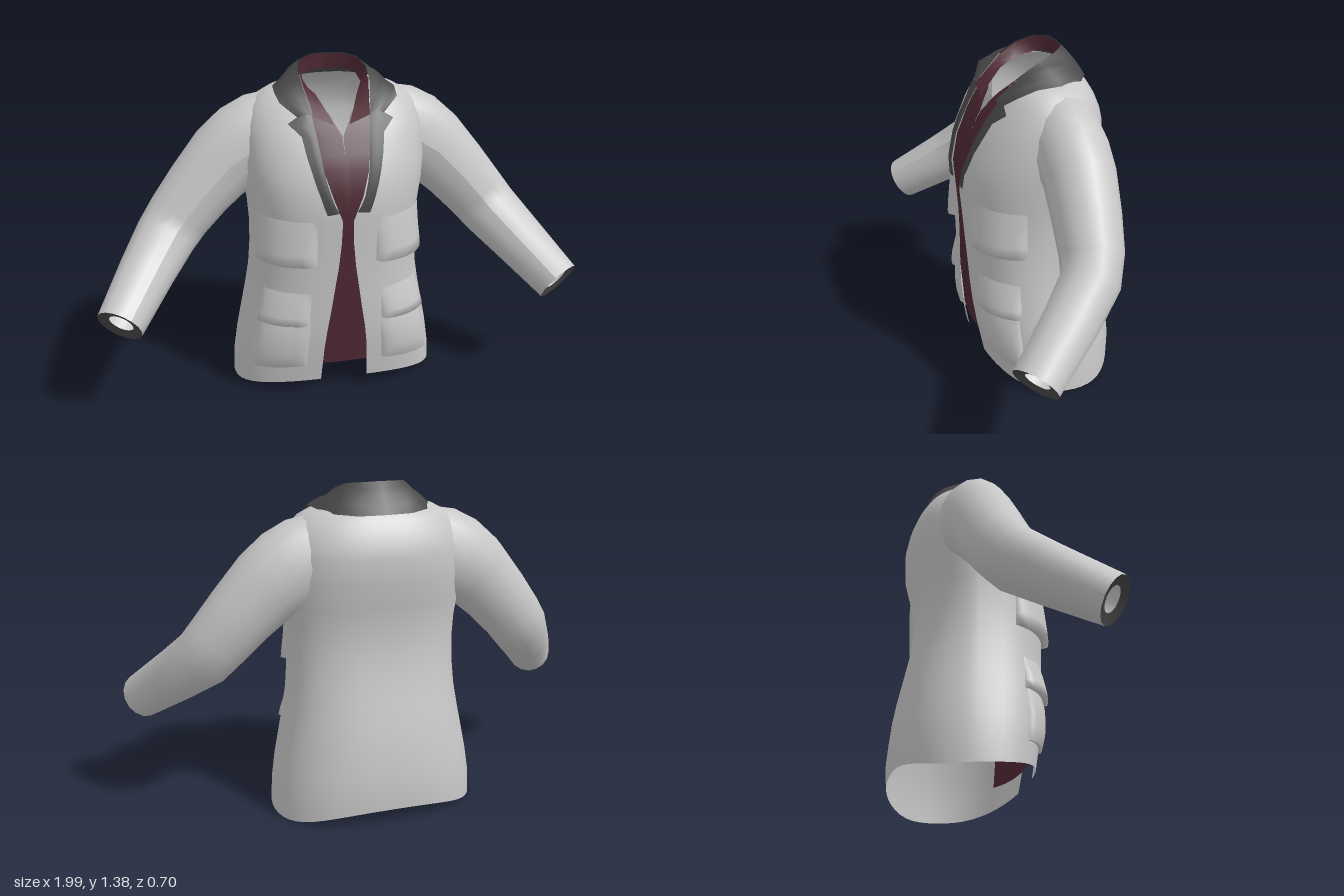
import * as THREE from 'three';

const mat = (name, color) => new THREE.MeshStandardMaterial({ name, color, side: THREE.DoubleSide });

// Torso rows: y, half width, front z, back z, half gap of the front opening
const ROWS = [
  [0, .435, .205, -.345, .1], [.1, .43, .22, -.35, .095], [.2, .415, .235, -.342, .09], [.3, .395, .245, -.332, .08],
  [.4, .375, .25, -.315, .065], [.5, .358, .253, -.292, .05], [.6, .35, .257, -.27, .035], [.7, .348, .262, -.256, .025],
  [.8, .355, .27, -.255, .022], [.9, .37, .27, -.27, .06], [1, .378, .242, -.295, .09], [1.1, .372, .195, -.298, .105],
  [1.15, .362, .163, -.288, .115], [1.2, .342, .13, -.268, .12], [1.24, .305, .1, -.245, .125], [1.265, .26, .07, -.225, .13],
  [1.28, .2, .05, -.205, .13], [1.29, .16, .045, -.185, .13],
];
const ZC = -.06, POW = .8, BACK_POW = 1;

function rowAt(y) {
  let i = 0;
  while (i < ROWS.length - 2 && y > ROWS[i + 1][0]) i++;
  const a = ROWS[i], b = ROWS[i + 1];
  const t = THREE.MathUtils.clamp((y - a[0]) / (b[0] - a[0]), 0, 1);
  return a.map((v, k) => v + (b[k] - v) * t);
}

// Point on the coat body; angle 0 is the front centre, PI the back
function bodyPoint(y, angle, off = 0) {
  const [, w, zf, zb] = rowAt(y);
  const s = Math.sin(angle), c = Math.cos(angle);
  const lift = .06 * ((c + .4) / (c > -.4 ? 1.4 : .6)) ** 2;
  const depth = c > 0 ? (zf - ZC) * c ** POW : (zb - ZC) * (-c) ** BACK_POW;
  return [
    Math.sign(s) * w * Math.abs(s) ** POW + off * s,
    y + lift * Math.max(0, 1 - y / .35),
    ZC + depth + off * c,
  ];
}

function frontZ(x, y) {
  const [, w, zf] = rowAt(y);
  const s = Math.min(1, Math.abs(x) / w);
  return ZC + (zf - ZC) * (1 - s ** (2 / POW)) ** (POW / 2);
}

// Smooth sheet from a grid of points
function sheet(nu, nv, fn) {
  const pos = [], idx = [];
  for (let j = 0; j <= nv; j++) for (let i = 0; i <= nu; i++) pos.push(...fn(i, j));
  for (let j = 0; j < nv; j++) for (let i = 0; i < nu; i++) {
    const a = j * (nu + 1) + i, b = a + nu + 1;
    idx.push(a, a + 1, b, a + 1, b + 1, b);
  }
  const g = new THREE.BufferGeometry();
  g.setAttribute('position', new THREE.Float32BufferAttribute(pos, 3));
  g.setIndex(idx);
  g.computeVertexNormals();
  return g;
}

const mix = (a, b, t) => a.map((v, k) => v + (b[k] - v) * t);

// Sleeve rings: centre, radius front to back, radius across
const ARM = [
  [.2, 1.105, -.08, .13, .16], [.28, 1.075, -.08, .14, .178], [.36, 1.035, -.08, .143, .176], [.44, .98, -.077, .138, .16],
  [.55, .865, -.062, .13, .143], [.64, .76, -.045, .121, .132], [.7, .685, -.015, .114, .126],
  [.79, .585, .1, .107, .113], [.912, .447, .278, .095, .095],
];
const WRIST = ARM.length - 1;

function sleevePoint(k, t, scale = 1, slide = 0) {
  const centre = n => new THREE.Vector3(...ARM[THREE.MathUtils.clamp(n, 0, WRIST)].slice(0, 3));
  const T = centre(k + 1).sub(centre(k - 1)).normalize();
  const U = new THREE.Vector3(0, 0, 1).addScaledVector(T, -T.z).normalize();
  const W = T.clone().cross(U);
  return centre(k).addScaledVector(T, slide)
    .addScaledVector(U, Math.cos(t) * ARM[k][3] * scale)
    .addScaledVector(W, Math.sin(t) * ARM[k][4] * scale).toArray();
}

// Collar: fold edge and outer edge, from the nape to the notch
const COLLAR = [
  [[0, 1.38, -.155], [0, 1.262, -.24]], [[.07, 1.378, -.148], [.11, 1.262, -.232]],
  [[.12, 1.37, -.1], [.19, 1.266, -.185]], [[.14, 1.345, -.03], [.235, 1.272, -.08]],
  [[.138, 1.305, .035], [.245, 1.272, .02]], [[.125, 1.25, .095], [.237, 1.247, .092]],
  [[.116, 1.2, .146], [.172, 1.195, .137]],
];
// Lapel: fold x, y and outer x, y, with the point in the second row
const LAPEL = [
  [.118, 1.215, .17, 1.198], [.112, 1.165, .212, 1.172], [.106, 1.12, .165, 1.128], [.098, 1.06, .153, 1.06],
  [.09, 1, .138, 1], [.08, .95, .125, .95], [.066, .9, .108, .9], [.05, .86, .096, .86], [.035, .838, .085, .832],
];
// Neckband lower edge; its upper edge follows the collar fold
const BAND = [
  [0, 1.315, -.158], [.07, 1.313, -.15], [.112, 1.305, -.1], [.116, 1.285, -.02], [.085, 1.262, .05], [.055, 1.21, .11], [.03, 1.16, .15],
];
// Vest front rows: y, inner x, outer x
const VEST = [
  [1.2, .045, .15], [1.16, .026, .17], [1.12, .002, .18], [1.05, 0, .21], [1, 0, .23], [.9, 0, .27],
  [.8, 0, .27], [.7, 0, .27], [.55, 0, .27], [.35, 0, .29], [.14, 0, .31],
];

export function createModel() {
  const model = new THREE.Group();
  model.name = 'jacket';
  const cloth = mat('light grey cloth', 0xc8c8c8);
  const trim = mat('dark grey trim', 0x484848);
  const maroon = mat('maroon vest', 0x4e2832);
  const add = (name, geo, m) => {
    const mesh = new THREE.Mesh(geo, m);
    mesh.name = name;
    model.add(mesh);
  };

  // Coat body, open down the front
  add('coatBody', sheet(48, ROWS.length - 1, (i, j) => {
    const [y, w, , , gap] = ROWS[j];
    const a0 = Math.asin((gap / w) ** (1 / POW));
    return bodyPoint(y, a0 + (2 * Math.PI - 2 * a0) * i / 48);
  }), cloth);

  for (const s of [1, -1]) {
    const side = s > 0 ? 'left' : 'right';
    const addSide = (name, m, nu, nv, fn) => add(side + name, sheet(nu, nv, (i, j) => {
      const [x, y, z] = fn(i, j);
      return [x * s, y, z];
    }), m);

    // Sleeve with a dark rim inside the cuff
    addSide('Sleeve', cloth, 16, WRIST, (i, j) => sleevePoint(j, i / 8 * Math.PI));
    addSide('CuffRim', trim, 16, 1, (i, j) => sleevePoint(WRIST, i / 8 * Math.PI, j ? .54 : 1, j * -.012));

    addSide('Collar', trim, 4, COLLAR.length - 1, (i, j) => {
      const [x, y, z] = mix(...COLLAR[j], i / 4);
      return [x, y + .01 * Math.sin(Math.PI * i / 4), z];
    });
    addSide('Lapel', trim, 4, LAPEL.length - 1, (i, j) => {
      const [x0, y0, x1, y1] = LAPEL[j];
      const [x, y] = mix([x0, y0], [x1, y1], i / 4);
      return [x, y, frontZ(x, y) + (i ? .01 : .005)];
    });

    addSide('Neckband', maroon, 2, BAND.length - 1, (i, j) => {
      const [x, y, z] = COLLAR[j][0];
      return mix([x * .97, y - .005, z + .004], BAND[j], i / 2);
    });
    addSide('VestFront', maroon, 10, VEST.length - 1, (i, j) => {
      const [y, x0, x1] = VEST[j];
      const x = x0 + (x1 - x0) * i / 10;
      return [x, y, frontZ(x, y) - .014];
    });

    // Pockets swell from the body and meet it at their edges
    const pocket = (name, yTop, yBottom, a0, a1, swell) => {
      const n = swell.length - 1;
      addSide(name, cloth, 10, n, (i, j) => {
        const u = THREE.MathUtils.clamp((i - .5) / 9, 0, 1);
        const v = Math.min(1, j / (n - 1));
        const off = i % 10 ? swell[j] * (.7 + .3 * Math.sin(Math.PI * u)) : 0;
        return bodyPoint(yTop + (yBottom - yTop) * v, a0 + (a1 - a0) * u, off);
      });
    };
    pocket('ChestPocketFlap', .8, .61, .27, 1.18, [0, .012, .022, .03, .036, 0]);
    pocket('HipPocket', .36, .1, .3, 1, [0, .014, .02, .022, .016, 0]);
    pocket('HipPocketFlap', .48, .34, .32, 1.05, [0, .01, .018, .026, .03, 0]);
  }
  return model;
}
